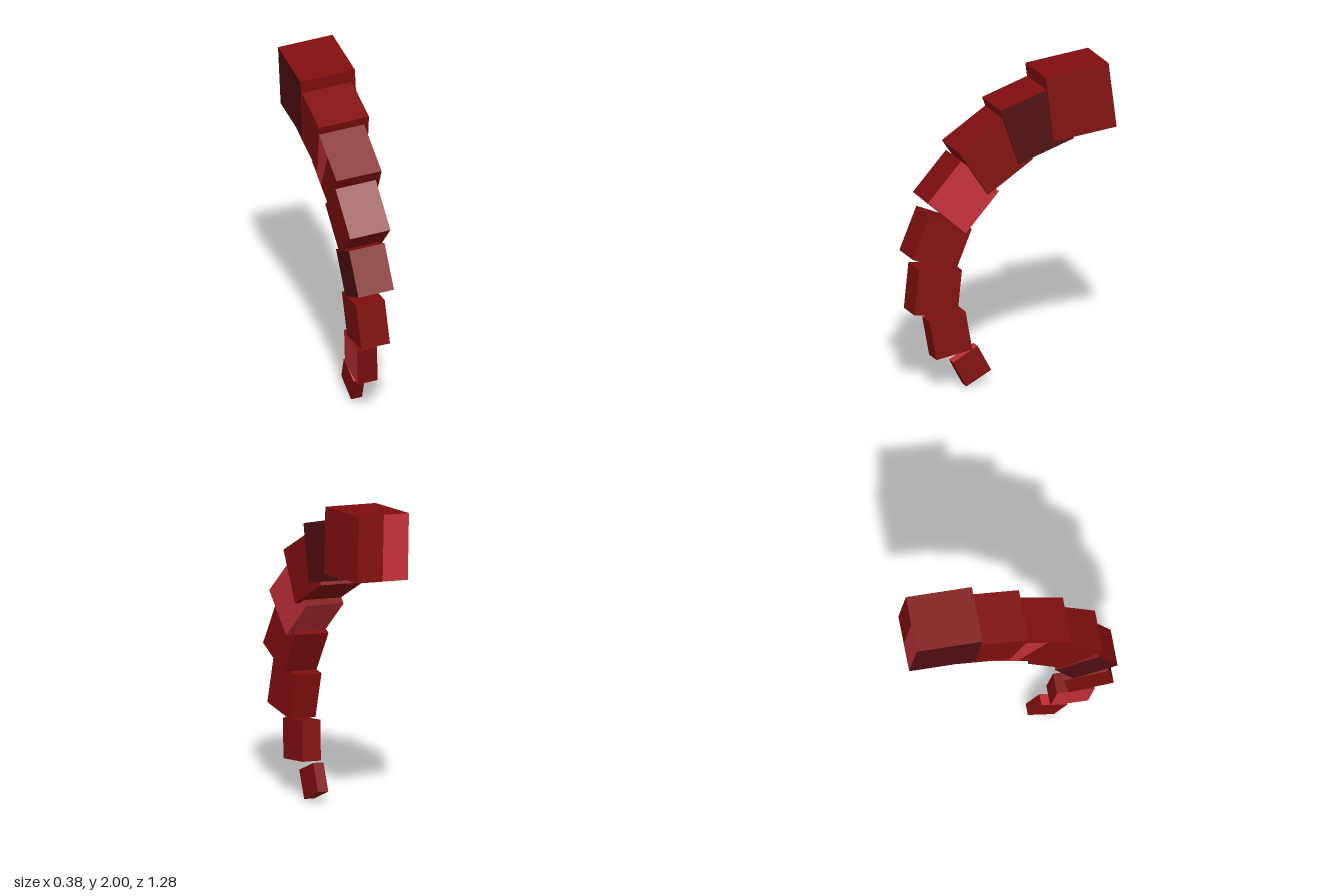
import * as THREE from 'three';

const mat = (name, color) => {
  const m = new THREE.MeshStandardMaterial({ color });
  m.name = name;
  return m;
};

export function createModel() {
  const root = new THREE.Group();
  root.name = 'curvedBlockTail';
  const R = 0, D = 1, P = 2;
  const materials = [mat('red', 0x800e0f), mat('darkRed', 0x500e12), mat('brightRed', 0xc23039)];
  const roll = THREE.MathUtils.degToRad(4.3);

  // Face order is +x, -x, +y, -y, +z, -z; a pair [a, b] splits a face in two halves.
  // Blocks run from the small tip up to the large root.
  const blocks = [
    { c: [0.128, 0.23], s: [0.07, 0.18, 0.18], pitch: 117, faces: { 5: P } },
    { c: [0.35, 0.375], s: [0.125, 0.233, 0.245], pitch: 98.7, faces: { 1: P } },
    { c: [0.646, 0.467], s: [0.18, 0.275, 0.282], pitch: 82.5, faces: {} },
    { c: [0.96, 0.45], s: [0.225, 0.29, 0.285], pitch: 66, faces: { 1: D } },
    { c: [1.248, 0.32], s: [0.255, 0.322, 0.32], pitch: 47, faces: { 0: P, 3: P } },
    { c: [1.49, 0.118], s: [0.285, 0.338, 0.345], pitch: 32.3, faces: { 1: [P, R] } },
    { c: [1.658, -0.14], s: [0.317, 0.36, 0.367], pitch: 17.6, faces: { 0: D } },
    { c: [1.767, -0.415], s: [0.345, 0.404, 0.404], pitch: 5.6, faces: { 1: D, 5: [R, P] } },
  ];

  blocks.forEach(({ c, s, pitch, faces }, i) => {
    const geo = new THREE.BoxGeometry(...s, 2, 1, 2);
    const groups = geo.groups.slice();
    geo.clearGroups();
    groups.forEach(({ start, count }, f) => {
      const [a, b] = [faces[f] ?? R].flat();
      geo.addGroup(start, count / 2, a);
      geo.addGroup(start + count / 2, count / 2, b ?? a);
    });
    const block = new THREE.Mesh(geo, materials);
    block.name = `tailBlock${i + 1}`;
    block.position.set(0, ...c);
    block.rotation.set(THREE.MathUtils.degToRad(pitch), 0, roll, 'ZXY');
    root.add(block);
  });
  return root;
}
